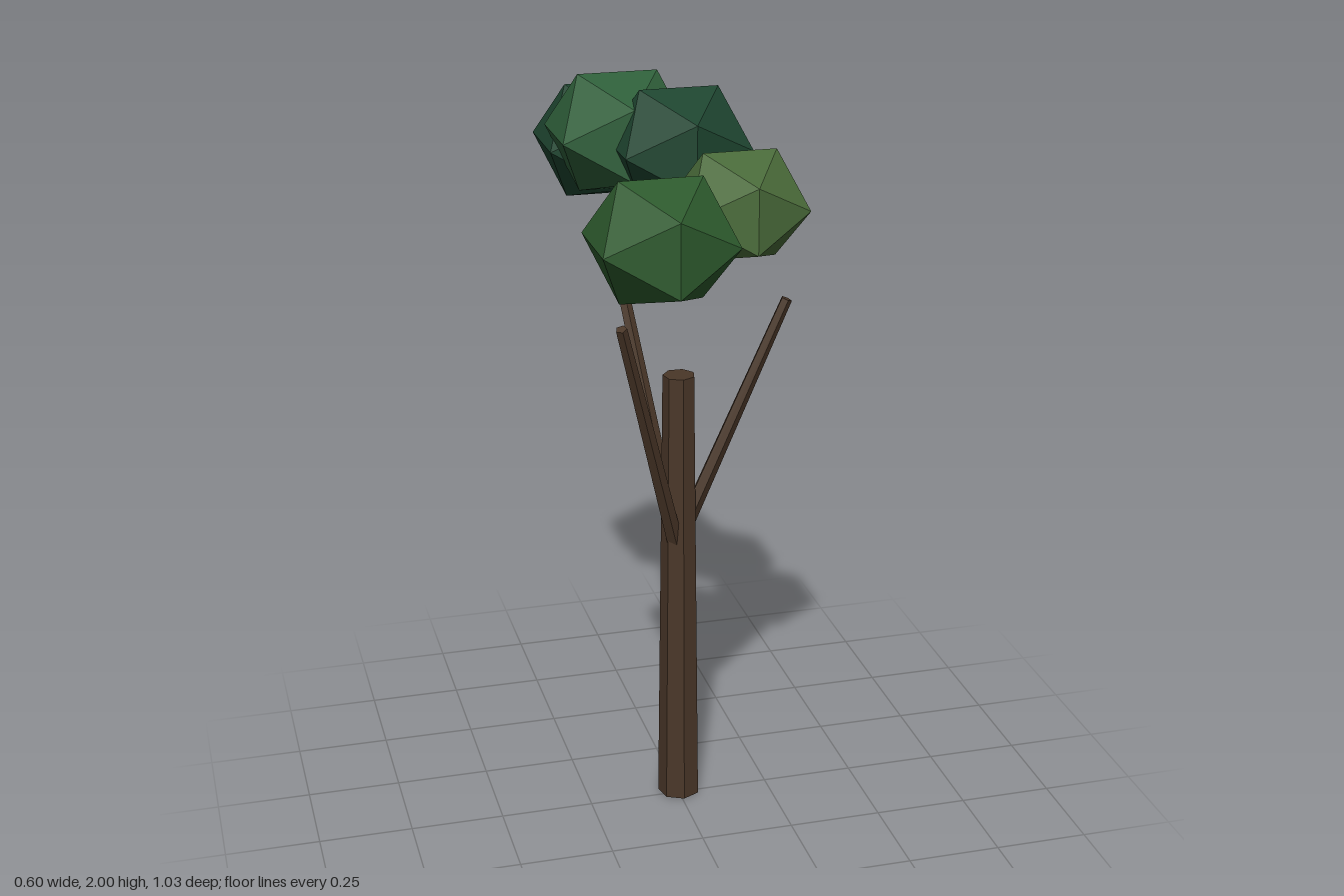
import * as THREE from 'three';

const material = (color) => new THREE.MeshStandardMaterial({ color, flatShading: true });

export function createModel() {
  const tree = new THREE.Group();
  tree.name = 'tree';
  const bark = material(0x4a3728);

  // Tapered limb running from one point to another
  function limb(name, from, to, rBase, rTip, sides) {
    const a = new THREE.Vector3(...from), b = new THREE.Vector3(...to);
    const dir = b.clone().sub(a);
    const mesh = new THREE.Mesh(new THREE.CylinderGeometry(rTip, rBase, dir.length(), sides), bark);
    mesh.name = name;
    mesh.position.copy(a).add(b).multiplyScalar(0.5);
    mesh.quaternion.setFromUnitVectors(new THREE.Vector3(0, 1, 0), dir.normalize());
    tree.add(mesh);
  }

  limb('trunk', [0.005, 0, -0.018], [0.005, 1.235, -0.018], 0.058, 0.043, 7);
  limb('leftBranch', [0.006, 0.77, -0.02], [0.282, 1.43, 0.018], 0.023, 0.015, 5);
  limb('frontBranch', [0.0, 0.73, -0.012], [-0.2, 1.45, 0.2], 0.023, 0.015, 5);
  limb('backBranch', [0.004, 0.72, -0.02], [-0.093, 1.492, -0.318], 0.023, 0.015, 5);

  // Leaf clumps: squashed icosahedra given by centre and half extents
  const reach = 0.8507; // half extent of a unit icosahedron
  const clumps = [
    ['frontLeaves', 0x2d5a2d, [-0.133, 1.71, 0.333], [0.167, 0.15, 0.182]],
    ['lightLeaves', 0x4a6b3a, [0.089, 1.753, 0.232], [0.149, 0.133, 0.163]],
    ['middleLeaves', 0x1e4530, [0.006, 1.843, -0.024], [0.163, 0.144, 0.176]],
    ['topLeaves', 0x2f5f3a, [-0.113, 1.85, -0.178], [0.167, 0.15, 0.182]],
    ['backLeaves', 0x1e4530, [-0.113, 1.792, -0.333], [0.167, 0.148, 0.182]],
  ];
  for (const [name, color, centre, half] of clumps) {
    const mesh = new THREE.Mesh(new THREE.IcosahedronGeometry(1, 0), material(color));
    mesh.name = name;
    mesh.position.set(...centre);
    mesh.scale.set(...half.map((h) => h / reach));
    tree.add(mesh);
  }
  return tree;
}
